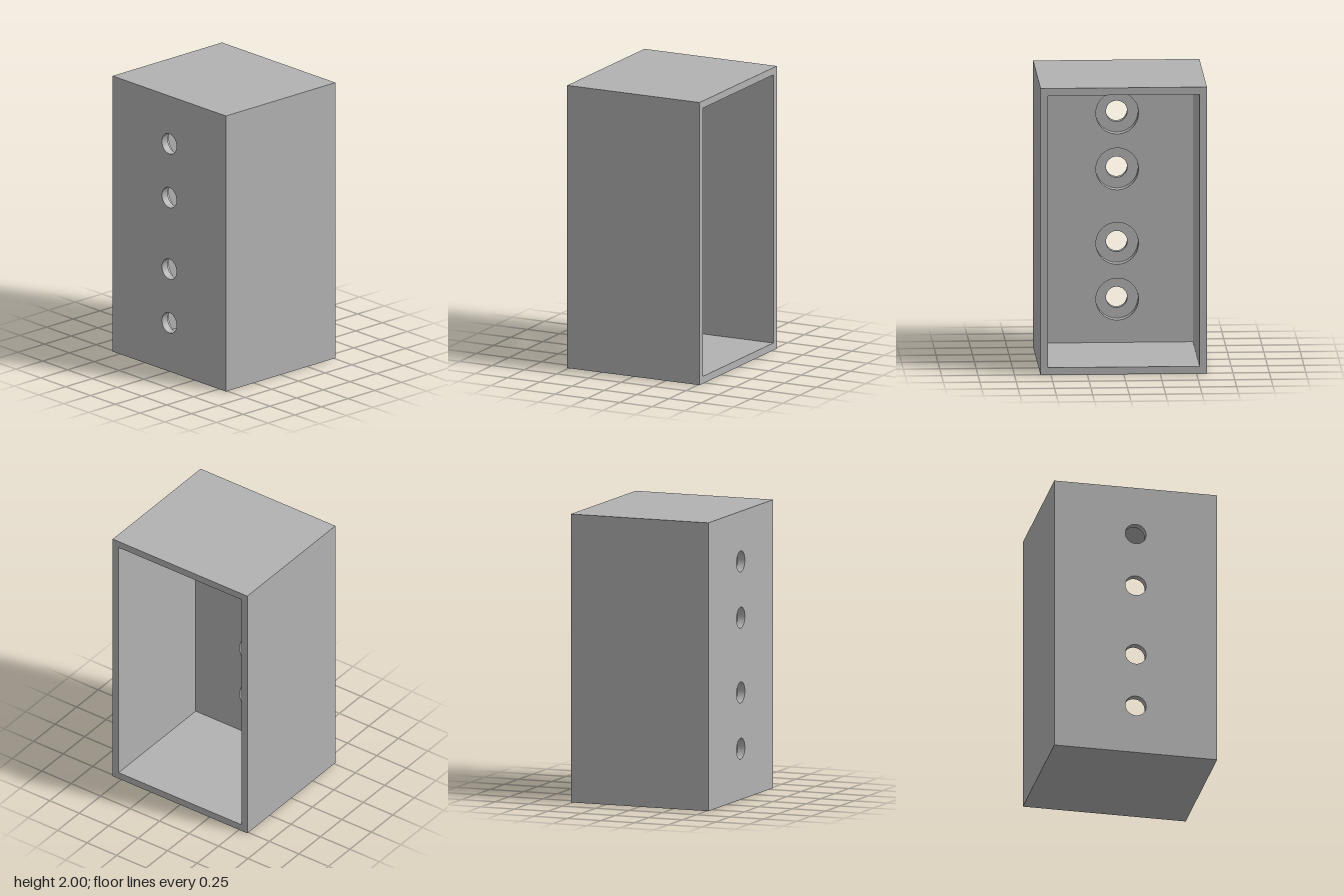
import * as THREE from 'three';
import { toCreasedNormals } from 'three/addons/utils/BufferGeometryUtils.js';

const W = 1.142, H = 2, D = 1.024;   // outer size
const WALL = 0.051;                  // side, top and bottom walls
const SKIN = 0.054, BACKING = 0.074; // two layers of the front panel
const HOLE_Y = [0.353, 0.743, 1.262, 1.652];

function rect(Type, w, y0, y1) {
  const s = new Type();
  s.moveTo(-w / 2, y0);
  s.lineTo(w / 2, y0);
  s.lineTo(w / 2, y1);
  s.lineTo(-w / 2, y1);
  s.closePath();
  return s;
}

// Extrude a shape from z0 forward, with smooth bores and sharp edges
function slab(name, shape, z0, depth, material) {
  const geo = new THREE.ExtrudeGeometry(shape, { depth, bevelEnabled: false, curveSegments: 48 });
  const mesh = new THREE.Mesh(toCreasedNormals(geo, 0.5), material);
  mesh.name = name;
  mesh.position.z = z0;
  return mesh;
}

// Rectangular plate with a column of round holes
function drilled(radius) {
  const s = rect(THREE.Shape, W, 0, H);
  for (const y of HOLE_Y) {
    const hole = new THREE.Path();
    hole.absarc(0, y, radius, 0, Math.PI * 2, true);
    s.holes.push(hole);
  }
  return s;
}

export function createModel() {
  const group = new THREE.Group();
  group.name = 'openBackBox';
  const grey = new THREE.MeshStandardMaterial({ color: 0xb2b2b2 });
  grey.name = 'grey';

  // Four walls around the open back
  const frame = rect(THREE.Shape, W, 0, H);
  frame.holes.push(rect(THREE.Path, W - 2 * WALL, WALL, H - WALL));
  const inner = D - SKIN - BACKING;
  group.add(slab('walls', frame, -D / 2, inner, grey));

  // Front panel: wide counterbores inside, narrow holes outside
  group.add(slab('frontPanelBacking', drilled(0.146), -D / 2 + inner, BACKING, grey));
  group.add(slab('frontPanelSkin', drilled(0.073), D / 2 - SKIN, SKIN, grey));
  return group;
}
